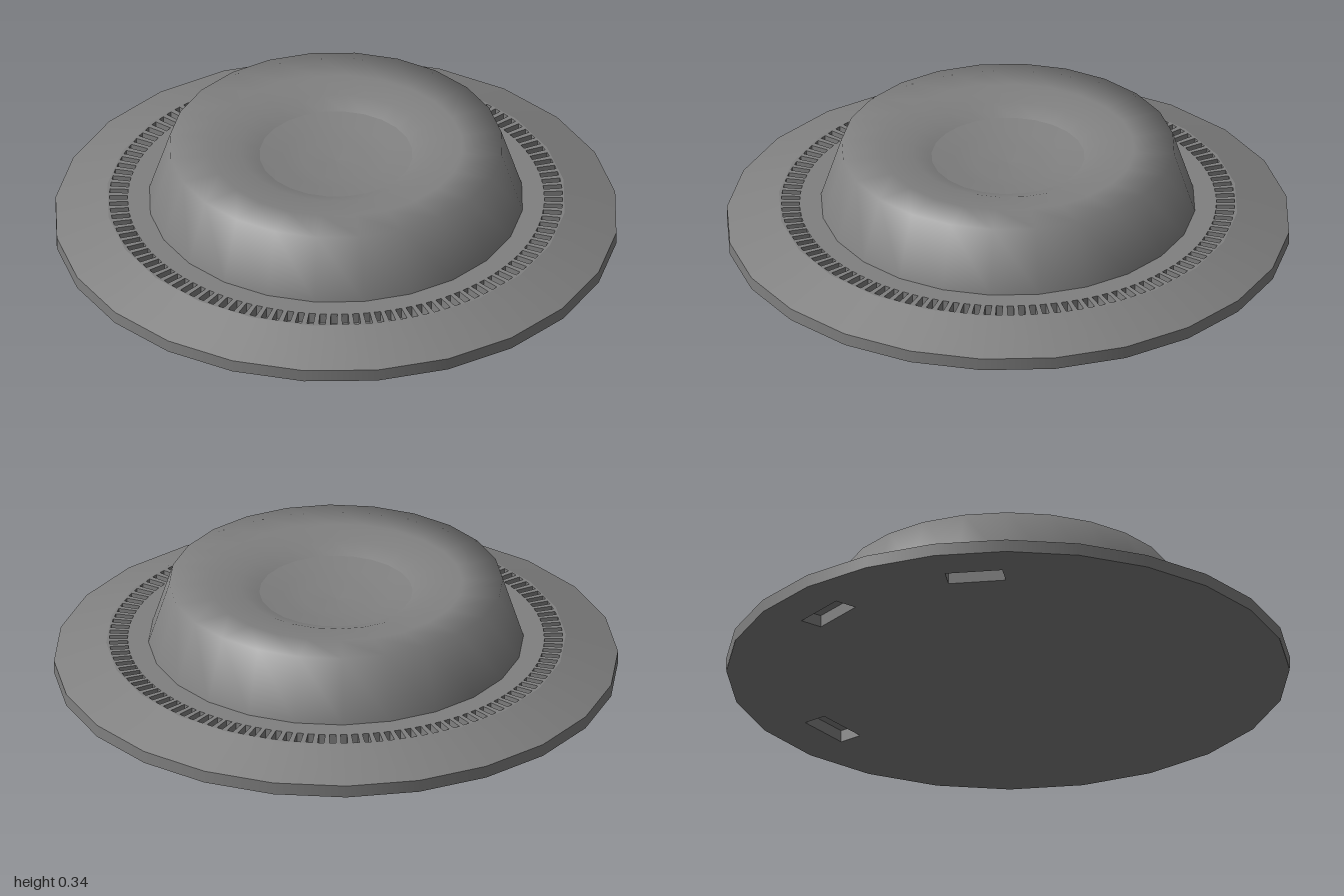
import * as THREE from 'three';

const SIDES = 24;
const casing = new THREE.MeshStandardMaterial({ color: 0x808080 });
casing.name = 'casing grey';

const V = (r, y) => new THREE.Vector2(r, y);

function ngon(r) {
  return Array.from({ length: SIDES }, (_, i) => {
    const a = (i / SIDES) * Math.PI * 2;
    return V(r * Math.cos(a), r * Math.sin(a));
  });
}

// Rectangle lying radially at angle a, from radius r0 to r1, of width w
function radialSlot(a, r0, r1, w) {
  const c = Math.cos(a), s = Math.sin(a);
  const at = (r, t) => V(r * c - t * s, r * s + t * c);
  return new THREE.Path([at(r0, -w / 2), at(r0, w / 2), at(r1, w / 2), at(r1, -w / 2)]);
}

// Flat plate with holes, standing on height y
function plate(shape, y, depth) {
  const g = new THREE.ExtrudeGeometry(shape, { depth, bevelEnabled: false });
  return g.rotateX(-Math.PI / 2).translate(0, y, 0);
}

export function createModel() {
  const model = new THREE.Group();
  model.name = 'ceilingDetector';
  const add = (name, geometry) => {
    const mesh = new THREE.Mesh(geometry, casing);
    mesh.name = name;
    model.add(mesh);
  };
  const lathe = (name, pts) =>
    add(name, new THREE.LatheGeometry(pts.map(([r, y]) => V(r, y)), SIDES));

  // Base plate with three mounting slots underneath
  const base = new THREE.Shape(ngon(0.998));
  for (const deg of [293, 218, 173]) {
    base.holes.push(radialSlot(-THREE.MathUtils.degToRad(deg), 0.75, 0.835, 0.205));
  }
  add('basePlate', plate(base, 0, 0.044));
  add('mountingSlotFloor',
    new THREE.CircleGeometry(0.99, SIDES).rotateX(Math.PI / 2).translate(0, 0.0435, 0));

  // Outer edge and sloping flange
  lathe('rim', [[1, 0], [1, 0.045]]);
  lathe('flange', [[1, 0.045], [0.815, 0.115]]);

  // Flat ring pierced by narrow vents
  const ring = new THREE.Shape(ngon(0.815));
  ring.holes.push(new THREE.Path(ngon(0.64)));
  const vents = 120;
  for (let i = 0; i < vents; i++) {
    ring.holes.push(radialSlot((i / vents) * Math.PI * 2, 0.738, 0.803, 0.023));
  }
  add('ventRing', plate(ring, 0.075, 0.04));
  add('ventFloor',
    new THREE.RingGeometry(0.64, 0.81, SIDES).rotateX(-Math.PI / 2).translate(0, 0.076, 0));

  // Raised housing with dished top
  lathe('housing', [[0.665, 0.115], [0.592, 0.342], [0.45, 0.339], [0.34, 0.33], [0.272, 0.304]]);
  lathe('centreDish', [[0.272, 0.304], [0.19, 0.29], [0.12, 0.28], [0, 0.275]]);

  return model;
}
